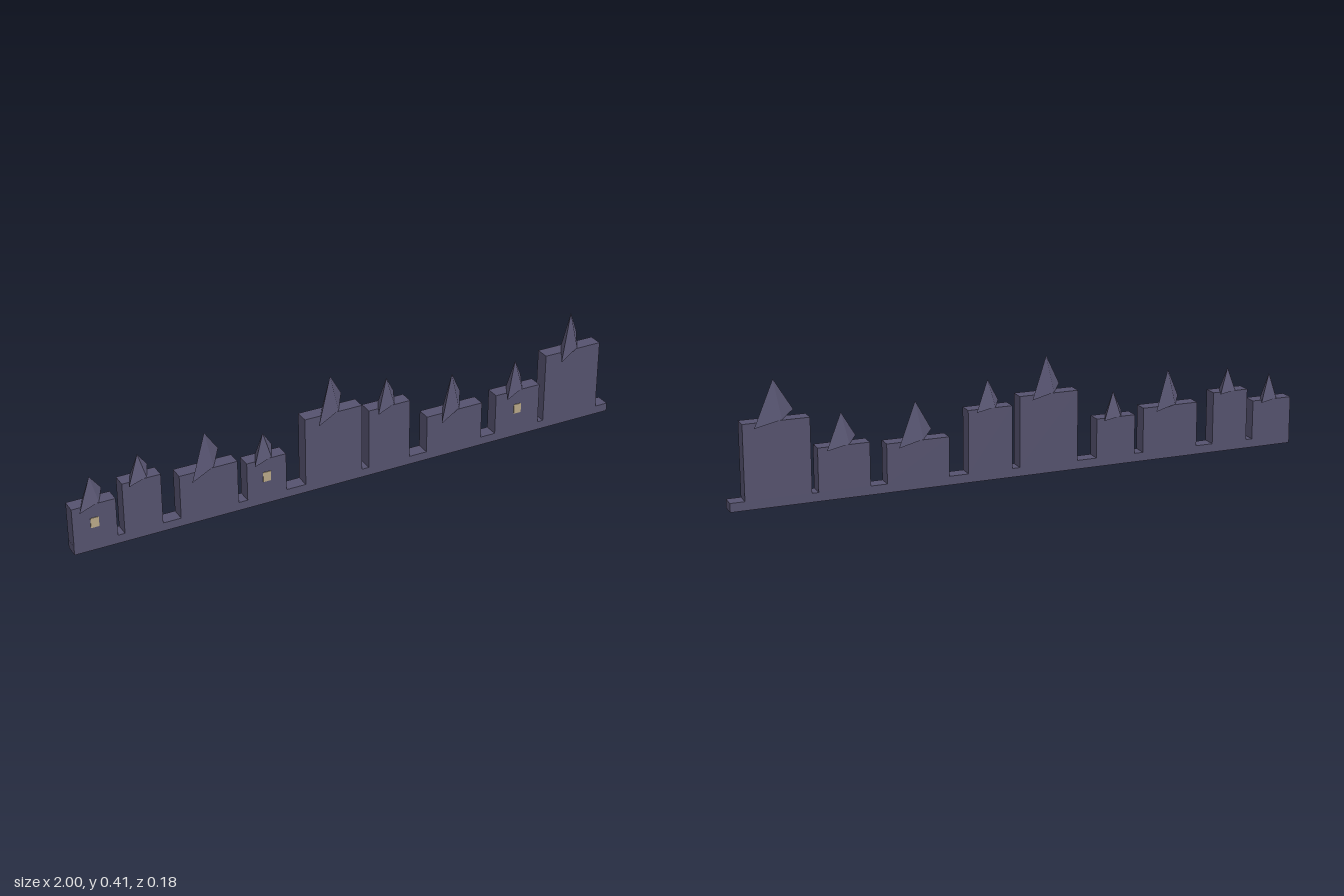
import * as THREE from 'three';

const DEPTH = 0.05;
const BASE_H = 0.03;

// One row per house: centre x, width, wall top, has window
const HOUSES = [
  [-0.926, 0.147, 0.166, true],
  [-0.763, 0.131, 0.211, false],
  [-0.534, 0.203, 0.185, false],
  [-0.33, 0.141, 0.166, true],
  [-0.085, 0.209, 0.273, false],
  [0.123, 0.155, 0.245, false],
  [0.374, 0.214, 0.164, false],
  [0.624, 0.174, 0.177, true],
  [0.842, 0.219, 0.281, false],
];

export function createModel() {
  const model = new THREE.Group();
  model.name = 'villageSkyline';
  const stone = new THREE.MeshStandardMaterial({ color: 0x55526e, flatShading: true });
  const glow = new THREE.MeshStandardMaterial({ color: 0xb8a888 });

  const add = (parent, name, geometry, material, x, y, z) => {
    const mesh = new THREE.Mesh(geometry, material);
    mesh.name = name;
    mesh.position.set(x, y, z);
    parent.add(mesh);
    return mesh;
  };

  // Long strip carrying all the houses
  add(model, 'base', new THREE.BoxGeometry(2, BASE_H, DEPTH), stone, 0, BASE_H / 2, 0);

  HOUSES.forEach(([x, width, top, hasWindow], i) => {
    const house = new THREE.Group();
    house.name = `house${i + 1}`;
    house.position.x = x;
    model.add(house);

    const wallH = top - BASE_H;
    add(house, 'walls', new THREE.BoxGeometry(width, wallH, DEPTH), stone, 0, BASE_H + wallH / 2, 0);

    // Four-sided roof, flattened and then turned so it lies diagonally over the walls
    const roofH = width * 0.59;
    const roof = add(house, 'roof', new THREE.ConeGeometry(width * 0.569, roofH, 4), stone, 0, top + roofH / 2, 0);
    roof.scale.z = DEPTH / width;
    roof.rotation.y = Math.PI / 4;

    // Small lit window standing slightly proud of the front
    if (hasWindow) {
      add(house, 'window', new THREE.BoxGeometry(0.028, 0.035, 0.004), glow, 0, BASE_H + wallH * 0.52, DEPTH / 2);
    }
  });

  return model;
}
